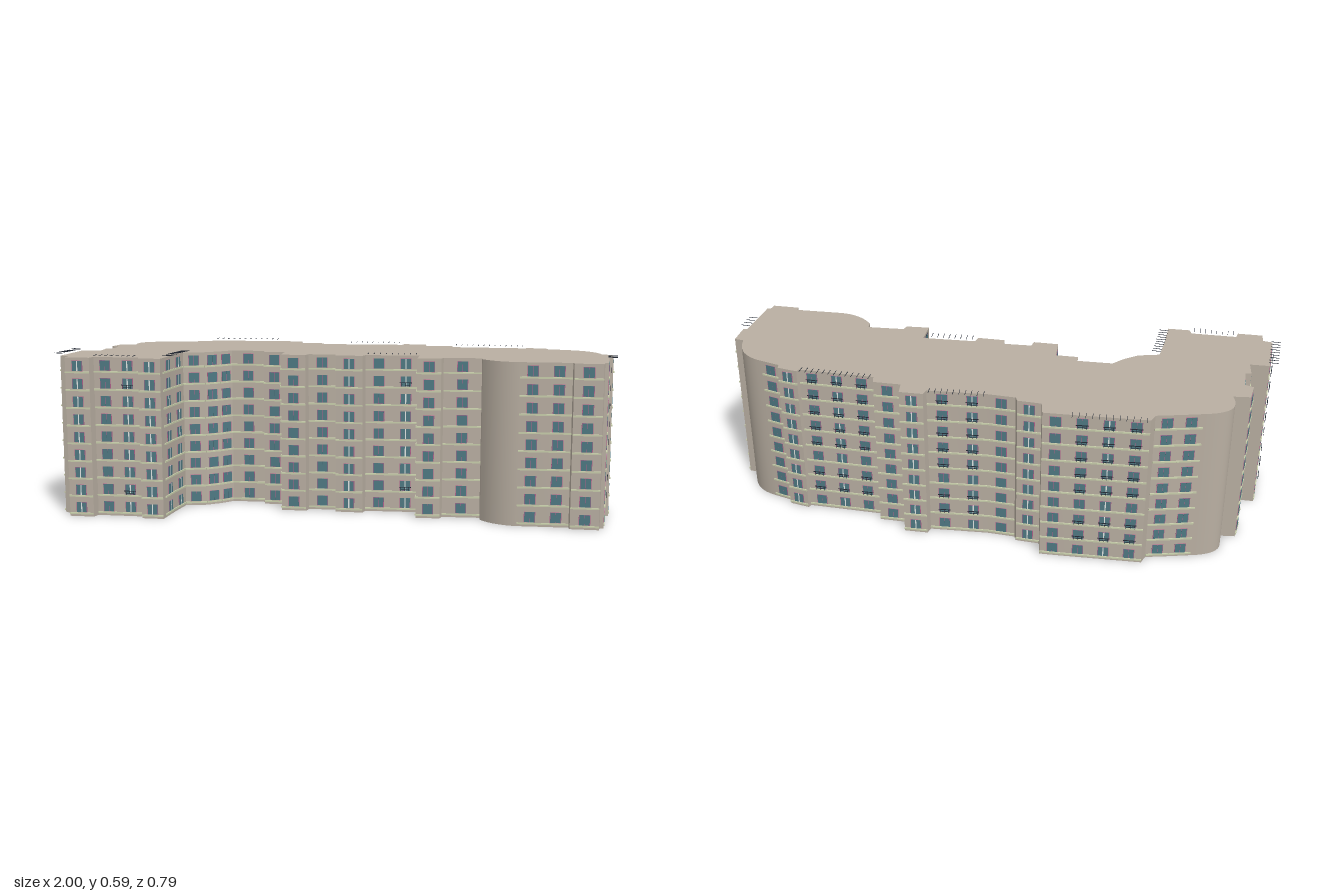
import * as THREE from 'three';
import { mergeGeometries, toCreasedNormals } from 'three/addons/utils/BufferGeometryUtils.js';

const FLOORS = 9, PITCH = 0.0645, HEIGHT = 0.58;

// Footprint corners [x, z, kind of the wall that starts here, curve control x, z]
// kinds: none = plain, 'w' = windows, 'p' = windows with white mullions, 'c' = plain curved wall,
// 'r' = windows and roof rods with a few rails, 'b' = the same with a rail at nearly every window
const PLAN = [
  [-0.97, 0.145, 'b'], [-0.97, 0.34], [-0.935, 0.345], [-0.93, 0.39, 'p'], [-0.84, 0.385], [-0.835, 0.355, 'r'],
  [-0.67, 0.345], [-0.66, 0.37, 'p'], [-0.58, 0.365], [-0.58, 0.34, 'r'], [-0.58, 0.24, 'r'], [-0.575, 0.14, 'w'],
  [-0.5, 0.115, 'w'], [-0.455, 0.075, 'w'], [-0.42, 0.03, 'w'], [-0.295, 0.02], [-0.29, 0.05, 'w'],
  [-0.21, 0.045, 'w'], [-0.2, 0.135, 'w'], [-0.11, 0.13], [-0.105, 0.1, 'w'], [-0.005, 0.09], [0, 0.12, 'p'],
  [0.1, 0.115], [0.105, 0.085, 'r'], [0.3, 0.065, 'w'], [0.305, 0.155, 'w'], [0.39, 0.145], [0.395, 0.12, 'w'],
  [0.53, 0.105], [0.535, 0.135, 'c', 0.59, 0.2], [0.67, 0.2, 'w'], [0.85, 0.185], [0.855, 0.205, 'w'], [0.955, 0.2],
  [0.957, 0.17], [0.97, 0.168, 'w'], [0.97, 0.074, 'b'], [0.97, -0.02], [0.985, -0.025, 'p'], [0.98, -0.112],
  [0.945, -0.115, 'c', 0.92, -0.235], [0.81, -0.255, 'w'], [0.74, -0.27], [0.735, -0.29, 'p'], [0.66, -0.3],
  [0.655, -0.285, 'b'], [0.38, -0.275], [0.37, -0.31, 'w'], [0.27, -0.305], [0.26, -0.358, 'p'], [0.175, -0.352],
  [0.17, -0.325, 'b'], [-0.04, -0.3, 'w'], [-0.14, -0.3], [-0.15, -0.32, 'p'], [-0.235, -0.32], [-0.25, -0.38, 'w'],
  [-0.34, -0.372, 'b'], [-0.61, -0.345], [-0.62, -0.31, 'w'], [-0.7, -0.285, 'w'], [-0.775, -0.26, 'c', -0.86, -0.235],
  [-0.87, -0.185, 'c', -0.875, -0.15], [-0.86, -0.115], [-0.92, -0.105, 'w'], [-0.925, -0.03], [-0.895, -0.02, 'p'],
  [-0.89, 0.065], [-0.91, 0.07, 'w'], [-0.9, 0.14],
];

export function createModel() {
  const mat = (name, color) => Object.assign(new THREE.MeshStandardMaterial({ color }), { name });
  const mats = {
    wall: mat('stone wall', 0xb9afa2),
    ledges: mat('pale green ledge', 0xc9cfac),
    windowPanes: mat('teal glass', 0x4f7983),
    mullions: mat('white mullion', 0xe8ecea),
    windowFrames: mat('pink frame', 0xb5648f),
    rails: mat('dark metal', 0x222833),
  };
  const parts = { ledges: [], windowPanes: [], mullions: [], windowFrames: [], rails: [] };
  const group = new THREE.Group();
  group.name = 'apartmentBlock';

  // Main block, with curved corners sampled along the footprint
  const outline = [];
  PLAN.forEach(([x, z, kind, cx, cz], i) => {
    outline.push(new THREE.Vector2(x, -z));
    if (kind !== 'c') return;
    const [ex, ez] = PLAN[(i + 1) % PLAN.length];
    const curve = new THREE.QuadraticBezierCurve(
      new THREE.Vector2(x, -z), new THREE.Vector2(cx, -cz), new THREE.Vector2(ex, -ez));
    outline.push(...curve.getPoints(8).slice(1, -1));
  });
  const block = new THREE.ExtrudeGeometry(new THREE.Shape(outline), { depth: HEIGHT, bevelEnabled: false });
  block.rotateX(-Math.PI / 2);
  const body = new THREE.Mesh(toCreasedNormals(block, 0.35), mats.wall);
  body.name = 'walls';
  group.add(body);

  // Details on each straight wall
  PLAN.forEach(([x, z, kind], i) => {
    if (!kind || kind === 'c') return;
    const [ex, ez] = PLAN[(i + 1) % PLAN.length];
    const dx = ex - x, dz = ez - z, length = Math.hypot(dx, dz);
    const place = new THREE.Matrix4().makeRotationY(Math.atan2(-dz, dx))
      .setPosition((x + ex) / 2, 0, (z + ez) / 2);

    // Box on the wall: u along it, y up, out away from it
    const add = (part, w, h, d, u, y, out) => parts[part].push(
      new THREE.BoxGeometry(w, h, d).translate(u, y, out).applyMatrix4(place));

    const windows = Math.max(1, Math.round(length / 0.1));
    const rodded = kind === 'r' || kind === 'b';
    for (let f = 0; f < FLOORS; f++) {
      const base = 0.011 + f * PITCH;
      add('ledges', length, 0.006, 0.007, 0, base, 0.0005);
      for (let k = 0; k < windows; k++) {
        const u = ((k + 0.5) / windows - 0.5) * length, y = base + 0.023;
        const odd = k % 2 === 1;
        // Pink frame, two panes and, on some, a white mullion between them
        add('windowFrames', 0.04, 0.0375, 0.002, u, y, 0.0005);
        for (const s of [-1, 1]) add('windowPanes', 0.0175, 0.0365, 0.003, u + s * 0.0093, y, 0.001);
        if (kind === 'p' || (rodded && (odd || windows === 1))) add('mullions', 0.004, 0.0365, 0.002, u, y, 0.002);
        // Balcony rail
        if (kind === 'b' ? f !== 0 && f !== 3 : kind === 'r' && odd && (f === 1 || f === 7)) {
          add('rails', 0.044, 0.0022, 0.0022, u, y - 0.004, 0.008);
          add('rails', 0.03, 0.0015, 0.0015, u, y - 0.012, 0.008);
          for (const s of [-0.015, 0, 0.015]) add('rails', 0.0015, 0.014, 0.0015, u + s, y - 0.011, 0.008);
        }
      }
    }

    // Thin rods reaching out over the roof edge
    if (rodded) {
      const rods = Math.round(length / 0.022);
      for (let k = 0; k < rods; k++) {
        add('rails', 0.0015, 0.0015, 0.034, ((k + 0.5) / rods - 0.5) * length, 0.588, 0.013);
      }
    }
  });

  for (const [name, list] of Object.entries(parts)) {
    const mesh = new THREE.Mesh(mergeGeometries(list), mats[name]);
    mesh.name = name;
    group.add(mesh);
  }
  return group;
}
